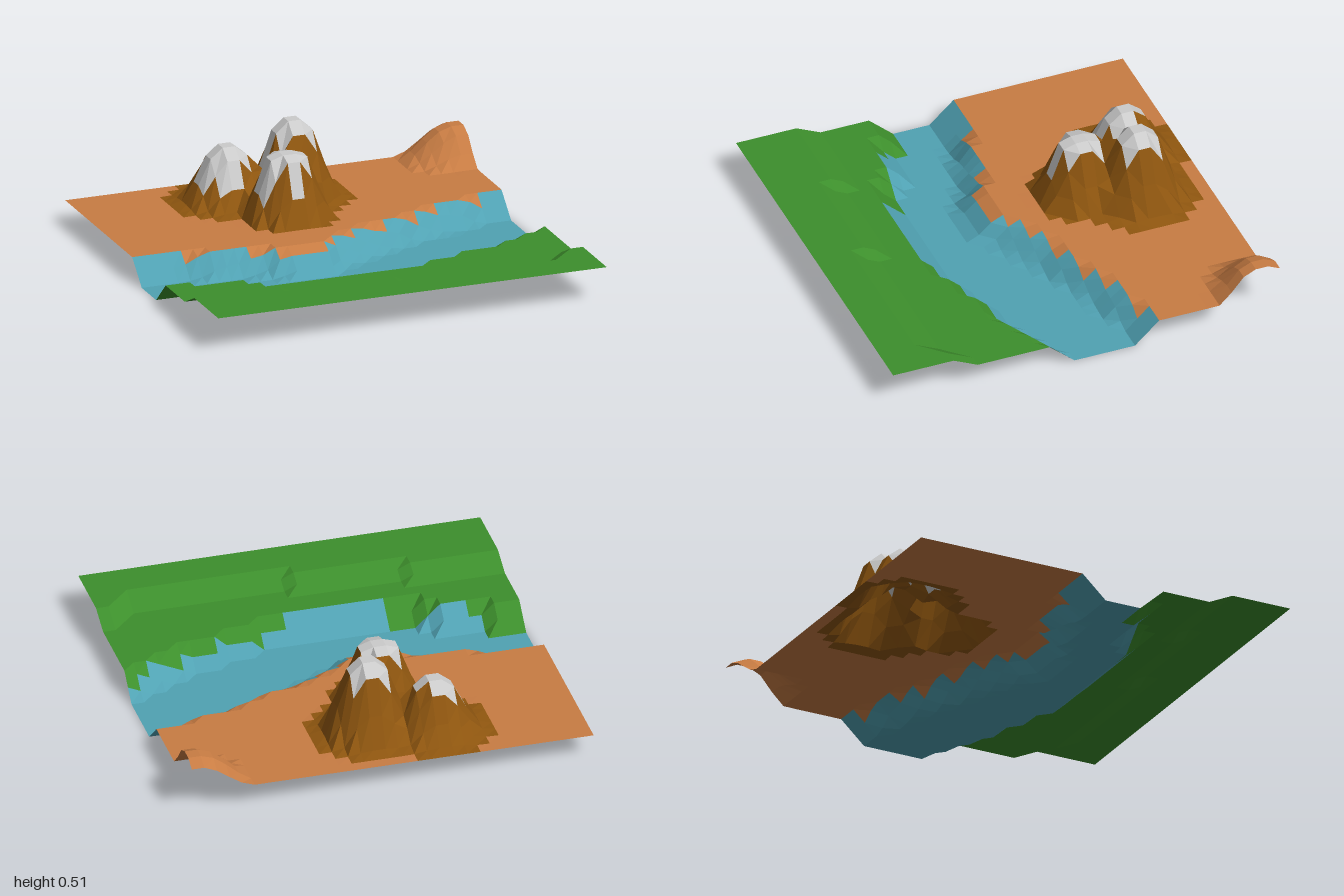
import * as THREE from 'three';

const N = 32, CELL = 2 / N;          // square terrain, N x N cells
const PLAIN = 0.115;                 // height of the level ground

// Piecewise linear and stepped lookups over [position, value] points
function lerpAt(points, t) {
  if (t <= points[0][0]) return points[0][1];
  for (let k = 1; k < points.length; k++) {
    const [a, va] = points[k - 1], [b, vb] = points[k];
    if (t <= b) return va + (vb - va) * (t - a) / (b - a);
  }
  return points[points.length - 1][1];
}
function stepAt(points, t) {
  let v = points[0][1];
  for (const [a, va] of points) if (t >= a) v = va;
  return v;
}

// River banks, in cells: [column, row]
const backTop = [[0, 14], [4, 14], [6, 15], [10, 15], [11, 16], [15, 16], [16, 15], [18, 14], [20, 13],
  [22, 13], [24, 12], [26, 11], [28, 11], [30, 10], [32, 10]];
const backFoot = [[0, 16], [3, 16], [8, 17], [10, 18], [12, 19], [15, 19], [16, 18], [18, 17], [20, 16],
  [24, 14], [28, 13], [30, 12], [32, 12]];
const frontTop = [[0, 21], [2, 21], [3, 22], [6, 22], [8, 24], [20, 24], [21, 23], [23, 23], [24, 22],
  [26, 22], [28, 21], [30, 20], [32, 19]];
// Last water-coloured row on the front bank, and the row where the grass terrace starts
const waterEnd = [[0, 19], [3, 21], [4, 22], [10, 24], [18, 23], [20, 22], [24, 21], [27, 20], [30, 19], [31, 18]];
const terrace = [[0, 25], [8, 26], [17, 27], [30, 26], [31, 25]];

// Peaks: centre in cells, stretch in x, and height against distance
const peaks = [
  { x: 16.5, z: 5.5, sx: 1, profile: [[0.71, 0.51], [1.58, 0.455], [2.55, 0.28], [3.54, 0.13], [4.4, PLAIN]] },
  { x: 11.5, z: 4.5, sx: 1, profile: [[0.71, 0.395], [1.58, 0.345], [2.55, 0.22], [3.54, 0.13], [4.4, PLAIN]] },
  { x: 14.5, z: 9.5, sx: 1, profile: [[0.71, 0.435], [1.58, 0.415], [2.55, 0.25], [3.54, PLAIN]] },
  { x: 31.5, z: 1.5, sx: 0.8, profile: [[0.71, 0.28], [1.58, 0.25], [2.55, 0.175], [3.54, PLAIN]] },
];

// Cell rectangles that are bare rock: [x0, x1, z0, z1]
const rockAreas = [[9, 11, 4, 6], [10, 12, 3, 7], [11, 13, 4, 6], [15, 18, 4, 7], [14, 15, 5, 6],
  [12, 14, 9, 11], [13, 16, 8, 10], [14, 16, 9, 11], [14, 15, 8, 12]];

function height(i, j) {
  const bt = lerpAt(backTop, i), bf = lerpAt(backFoot, i), ft = lerpAt(frontTop, i);
  if (j <= bt) return Math.max(PLAIN, ...peaks.map(p =>
    lerpAt(p.profile, Math.hypot((i - p.x) * p.sx, j - p.z))));
  if (j < bf) return PLAIN * (1 - THREE.MathUtils.smoothstep(j, bt, bf));
  if (j < ft) return PLAIN * Math.max(0, 1 - (ft - j) / 2);
  const t = stepAt(terrace, i);
  return PLAIN + 0.06 * THREE.MathUtils.clamp((j - t) / 2, 0, 1);
}

// Which part a cell belongs to
function partOf(i, j) {
  const h = (height(i, j) + height(i + 1, j) + height(i, j + 1) + height(i + 1, j + 1)) / 4;
  if (j >= 17 && j >= stepAt(waterEnd, i)) return 'grassBank';
  if (i === 9 && j === 22) return 'clayPatch';
  if (h < 0.095 || j > 17) return 'river';
  if (i < 22 && j < 13 && h > 0.118) {
    const rock = rockAreas.some(([a, b, c, d]) => i >= a && i < b && j >= c && j < d);
    return rock ? 'rockPeaks' : 'mountainSlopes';
  }
  return 'desertPlain';
}

const colors = {
  desertPlain: 0xc87c43, mountainSlopes: 0x8f560f, rockPeaks: 0xc2c2c2,
  river: 0x50a2b3, clayPatch: 0xa2521a, grassBank: 0x3d8f2c,
};

export function createModel() {
  const group = new THREE.Group();
  group.name = 'riverLandscape';

  // Gather two triangles per cell into the part it belongs to
  const corners = {};
  for (const name in colors) corners[name] = [];
  for (let i = 0; i < N; i++) for (let j = 0; j < N; j++) {
    const out = corners[partOf(i, j)];
    for (const [a, b] of [[0, 0], [0, 1], [1, 0], [1, 0], [0, 1], [1, 1]]) {
      out.push((i + a) * CELL - 1, height(i + a, j + b), (j + b) * CELL - 1);
    }
  }

  // One faceted sheet per part
  for (const name in colors) {
    const geometry = new THREE.BufferGeometry();
    geometry.setAttribute('position', new THREE.Float32BufferAttribute(corners[name], 3));
    geometry.computeVertexNormals();
    const mesh = new THREE.Mesh(geometry, new THREE.MeshStandardMaterial({
      color: colors[name], flatShading: true, side: THREE.DoubleSide,
    }));
    mesh.name = name;
    group.add(mesh);
  }
  return group;
}
